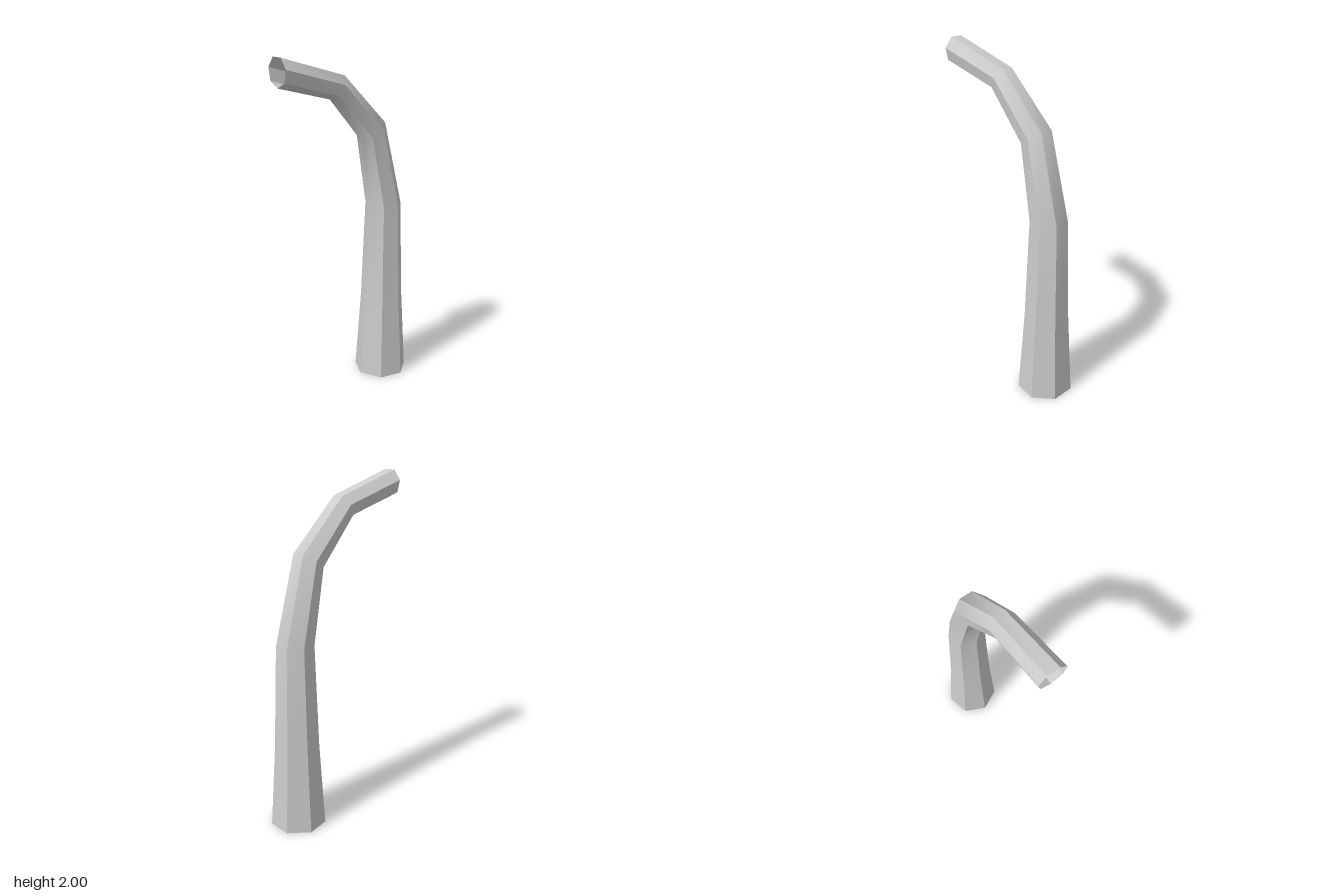
import * as THREE from 'three';

const SIDES = 7;

// Rings along the bent pipe: centre x, centre y, radius, tilt in degrees
const RINGS = [
  [0.286, 0.0, 0.162, 0],
  [0.287, 0.5, 0.13, 0],
  [0.288, 1.1, 0.108, 0],
  [0.187, 1.552, 0.091, 31.5],
  [-0.069, 1.822, 0.077, 59],
  [-0.44, 1.926, 0.0818, 90],
];

// Corner k of a ring; a flat side faces the outside of the bend
function corner([cx, cy, r, tilt], k) {
  const t = ((k + 0.5) / SIDES) * Math.PI * 2;
  const a = THREE.MathUtils.degToRad(tilt);
  const d = r * Math.cos(t);
  return [cx + d * Math.cos(a), cy + d * Math.sin(a), r * Math.sin(t)];
}

// Each lengthwise strip has its own vertices: smooth along, sharp around
function pipeGeometry() {
  const pos = [], index = [];
  for (let k = 0; k < SIDES; k++) {
    const base = pos.length / 3;
    RINGS.forEach((ring, i) => {
      pos.push(...corner(ring, k), ...corner(ring, k + 1));
      if (i === RINGS.length - 1) return;
      const a = base + i * 2;
      index.push(a, a + 2, a + 1, a + 2, a + 3, a + 1);
    });
  }
  const geo = new THREE.BufferGeometry();
  geo.setAttribute('position', new THREE.Float32BufferAttribute(pos, 3));
  geo.setIndex(index);
  geo.computeVertexNormals();
  return geo;
}

export function createModel() {
  const group = new THREE.Group();
  group.name = 'bentPipe';
  // Tapered hollow pipe, open at both ends
  const material = new THREE.MeshStandardMaterial({ color: 0xcccccc, side: THREE.DoubleSide });
  const pipe = new THREE.Mesh(pipeGeometry(), material);
  pipe.name = 'pipe';
  group.add(pipe);
  return group;
}
